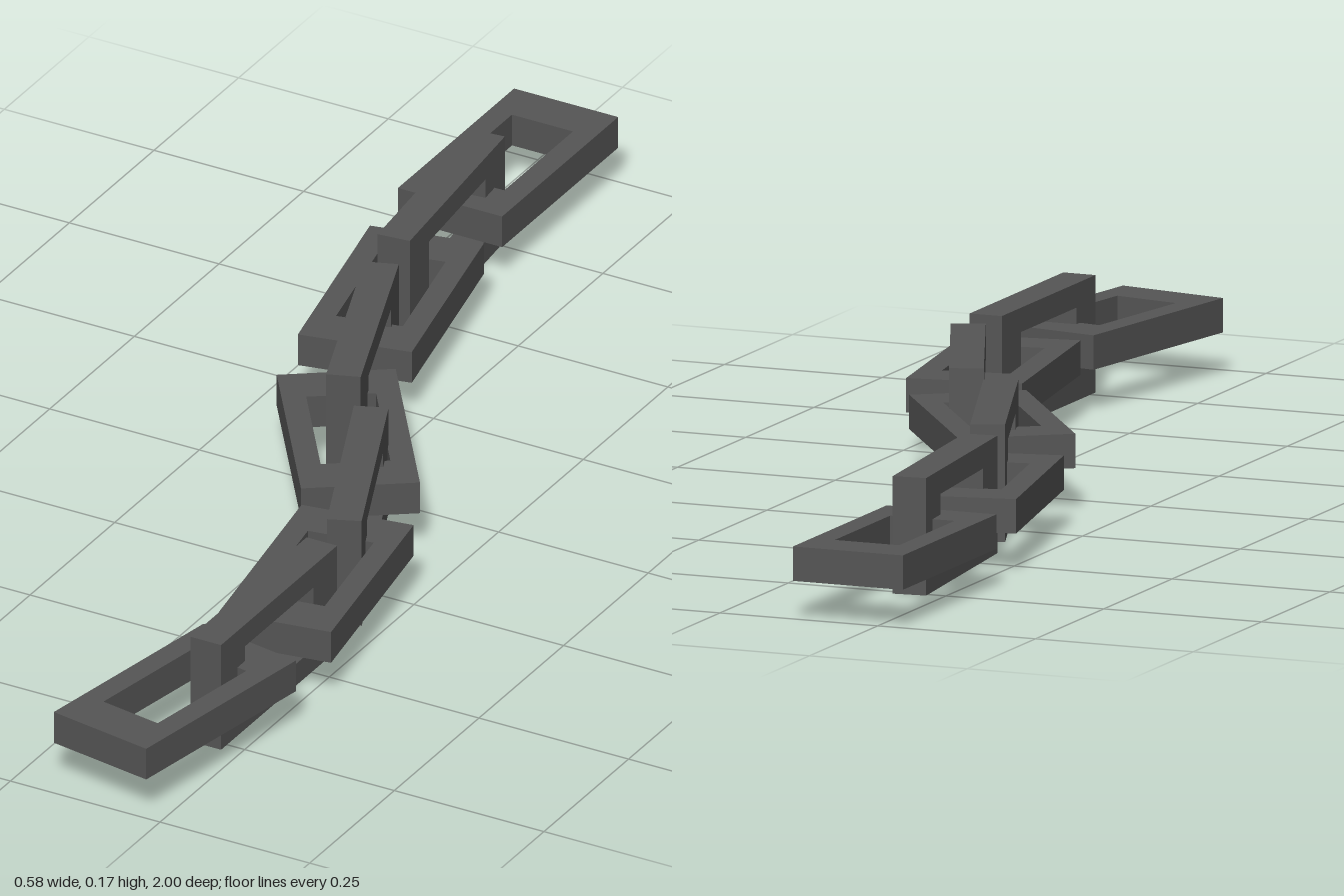
import * as THREE from 'three';

const WIDTH = 0.174, LENGTH = 0.343, THICK = 0.051;
const SIDE = 0.036, END = 0.07; // bar widths of the rectangular ring

const rectPoints = (w, l) => [[-w, -l], [w, -l], [w, l], [-w, l]]
  .map(([x, y]) => new THREE.Vector2(x / 2, y / 2));

// Rectangular ring lying flat, long axis along z
function linkGeometry() {
  const shape = new THREE.Shape(rectPoints(WIDTH, LENGTH));
  shape.holes.push(new THREE.Path(rectPoints(WIDTH - 2 * SIDE, LENGTH - 2 * END).reverse()));
  const geometry = new THREE.ExtrudeGeometry(shape, { depth: THICK, bevelEnabled: false });
  return geometry.translate(0, 0, -THICK / 2).rotateX(Math.PI / 2);
}

export function createModel() {
  const model = new THREE.Group();
  model.name = 'chain';
  const material = new THREE.MeshStandardMaterial({ color: 0x555555, flatShading: true });
  const flat = linkGeometry();
  const upright = flat.clone().rotateZ(Math.PI / 2);

  // Links from back to front, alternately flat and upright: x, y, z, turn
  const links = [
    [-0.203, 0.082, -0.829, 0],
    [-0.18, 0.087, -0.591, 0.1],
    [-0.15, 0.082, -0.389, 0.204],
    [-0.082, 0.087, -0.185, 0.352],
    [0.008, 0.088, 0.016, 0.618],
    [0.125, 0.087, 0.195, 0.4],
    [0.174, 0.088, 0.404, 0.157],
    [0.195, 0.087, 0.596, 0],
    [0.169, 0.088, 0.813, -0.173],
  ];
  links.forEach(([x, y, z, turn], i) => {
    const isFlat = i % 2 === 0;
    const link = new THREE.Mesh(isFlat ? flat : upright, material);
    link.name = (isFlat ? 'flatLink' : 'uprightLink') + (i + 1);
    link.position.set(x, y, z);
    link.rotation.y = turn;
    model.add(link);
  });
  return model;
}
